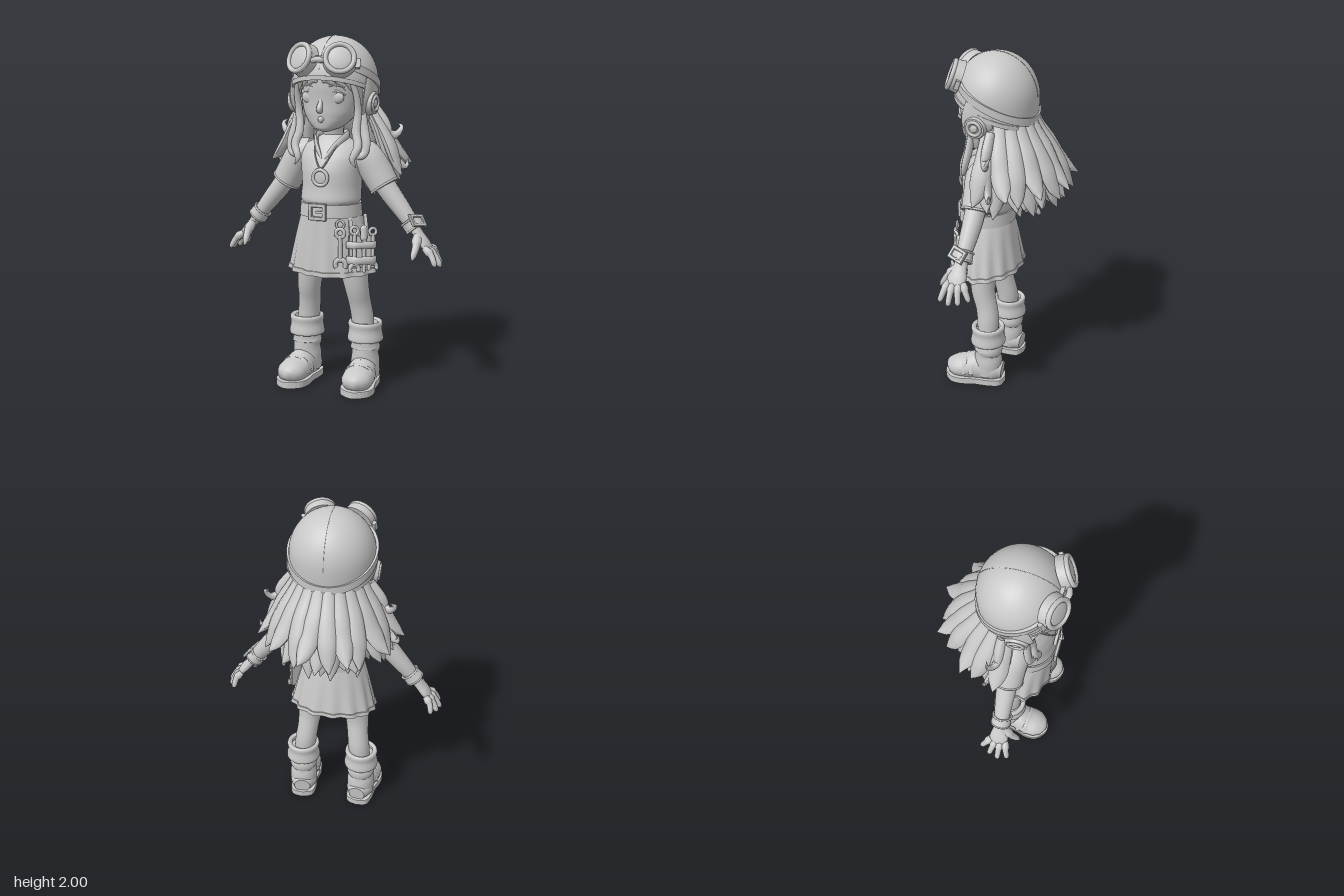
import * as THREE from 'three';
import { toCreasedNormals } from 'three/addons/utils/BufferGeometryUtils.js';

const V = (x, y, z) => new THREE.Vector3(x, y, z);
const grey = new THREE.MeshStandardMaterial({ color: 0xc8c8c8, side: THREE.DoubleSide });
grey.name = 'clay grey';

// Surface closed around u (angle) and open along v (row index)
function surface(nu, nv, f, crease = 0.9) {
  const pos = [], idx = [];
  for (let j = 0; j <= nv; j++)
    for (let i = 0; i < nu; i++) pos.push(...f((i / nu) * Math.PI * 2, j).toArray());
  for (let j = 0; j < nv; j++)
    for (let i = 0; i < nu; i++) {
      const k = (i + 1) % nu, a = j * nu + i, b = j * nu + k;
      idx.push(a, b, b + nu, a, b + nu, a + nu);
    }
  const g = new THREE.BufferGeometry();
  g.setAttribute('position', new THREE.Float32BufferAttribute(pos, 3));
  g.setIndex(idx);
  return toCreasedNormals(g, crease);
}

// Capped tube along points; radii are numbers or [side, depth]
function sweep(pts, radii, ref = V(0, 0, 1), nu = 12, steps = 4) {
  const path = new THREE.CatmullRomCurve3(pts.map(p => V(...p)));
  const size = new THREE.CatmullRomCurve3(radii.map(r => Array.isArray(r) ? V(r[0], r[1], 0) : V(r, r, 0)));
  const n = (pts.length - 1) * steps;
  const rows = [];
  for (let j = 0; j <= n; j++) {
    const t = path.getTangent(j / n), s = ref.clone().cross(t).normalize();
    rows.push({ c: path.getPoint(j / n), s, d: t.clone().cross(s), r: size.getPoint(j / n) });
  }
  return surface(nu, n + 2, (a, j) => {
    const k = rows[Math.min(Math.max(j - 1, 0), n)], m = j === 0 || j === n + 2 ? 0 : 1;
    return k.c.clone().addScaledVector(k.s, m * Math.max(k.r.x, 0) * Math.cos(a))
      .addScaledVector(k.d, m * Math.max(k.r.y, 0) * Math.sin(a));
  });
}

// Stacked ellipses listed from top to bottom: [y, centreZ, radiusX, radiusZ]
function loft(rows, smooth = true, nu = 40) {
  const k = smooth ? 4 : 1, n = (rows.length - 1) * k;
  const A = new THREE.CatmullRomCurve3(rows.map(r => V(r[0], r[1], 0)));
  const B = new THREE.CatmullRomCurve3(rows.map(r => V(r[2], r[3], 0)));
  return surface(nu, n, (a, j) => {
    const p = A.getPoint(j / n), q = B.getPoint(j / n);
    return V(q.x * Math.cos(a), p.x, p.y + q.y * Math.sin(a));
  });
}

// Point on the cap shell at angle a and height y
function dome(a, y, off = 0) {
  const c = Math.min(1, Math.max(-1, (y - 1.75) / 0.25));
  let s = Math.sqrt(1 - c * c);
  if (c < 0) s = 1 - 0.3 * (1 - s);
  return V((0.24 * s + off) * Math.cos(a), y, 0.1 + (0.235 * s + off) * Math.sin(a));
}
const rimY = a => 1.69 + 0.085 * Math.sin(a);

function capBand(yOf, h, off) {
  const prof = [[0.5, -0.01], [0.5, off], [-0.5, off], [-0.5, -0.01]];
  return surface(64, 3, (a, j) => {
    const q = dome(a, yOf(a), prof[j][1]);
    q.y += prof[j][0] * h;
    return q;
  }, 0.6);
}

// Rectangular buckle frame
function frame(w, h, t, d) {
  const rect = (o, a, b) => o.moveTo(-a, -b).lineTo(a, -b).lineTo(a, b).lineTo(-a, b).closePath();
  const s = rect(new THREE.Shape(), w / 2, h / 2);
  s.holes.push(rect(new THREE.Path(), w / 2 - t, h / 2 - t));
  return new THREE.ExtrudeGeometry(s, { depth: d, bevelSize: 0.003, bevelThickness: 0.003, bevelSegments: 1 });
}

export function createModel() {
  const root = new THREE.Group();
  const add = (name, geo, parent = root) => {
    const m = new THREE.Mesh(geo, grey);
    m.name = name;
    parent.add(m);
    return m;
  };
  const at = (m, x, y, z) => (m.position.set(x, y, z), m);
  const group = (name, x, y, z, dir) => {
    const g = at(new THREE.Group(), x, y, z);
    g.name = name;
    if (dir) g.quaternion.setFromUnitVectors(V(0, 0, 1), dir.normalize());
    root.add(g);
    return g;
  };
  const ball = (name, x, y, z, a, b, c, parent) => {
    const m = at(add(name, new THREE.SphereGeometry(1, 20, 14), parent), x, y, z);
    m.scale.set(a, b, c);
    return m;
  };

  // Head, neck and face
  add('head', loft([[1.93, 0.1, 0.02, 0.02], [1.88, 0.11, 0.15, 0.16], [1.8, 0.115, 0.19, 0.203], [1.72, 0.12, 0.185, 0.197],
    [1.65, 0.135, 0.174, 0.175], [1.58, 0.165, 0.15, 0.143], [1.53, 0.19, 0.114, 0.114], [1.495, 0.218, 0.07, 0.078], [1.475, 0.25, 0.008, 0.01]]));
  add('neck', sweep([[0, 1.38, 0.12], [0, 1.46, 0.13], [0, 1.56, 0.15]], [0.075, 0.06, 0.065]));
  add('nose', sweep([[0, 1.68, 0.294], [0, 1.64, 0.306], [0, 1.605, 0.324], [0, 1.59, 0.305]], [0.008, 0.012, 0.018, 0.012]));
  add('upperLip', sweep([[-0.045, 1.556, 0.282], [-0.015, 1.549, 0.3], [0.015, 1.549, 0.3], [0.045, 1.556, 0.282]], [0.003, 0.007, 0.007, 0.003]));
  add('lowerLip', sweep([[-0.03, 1.543, 0.288], [0, 1.537, 0.3], [0.03, 1.543, 0.288]], [0.003, 0.008, 0.003]));
  for (const s of [-1, 1]) {
    ball('eye', s * 0.08, 1.668, 0.277, 0.046, 0.034, 0.018);
    add('eyelid', sweep([[s * 0.035, 1.672, 0.298], [s * 0.075, 1.705, 0.294], [s * 0.13, 1.68, 0.262]], [0.003, 0.007, 0.003]));
    add('eyebrow', sweep([[s * 0.035, 1.722, 0.309], [s * 0.08, 1.737, 0.298], [s * 0.13, 1.722, 0.264]], [0.003, 0.006, 0.003]));
    add('ear', sweep([[s * 0.18, 1.71, 0.12], [s * 0.19, 1.65, 0.12], [s * 0.175, 1.59, 0.13]], [[0.012, 0.02], [0.015, 0.035], [0.01, 0.015]]));
  }

  // Leather cap with rim, strap and seam
  add('cap', surface(64, 20, (a, j) => {
    const phi = (j / 20) * Math.acos((rimY(a) - 1.75) / 0.25);
    return dome(a, 1.75 + 0.25 * Math.cos(phi));
  }));
  add('capRim', capBand(rimY, 0.025, 0.007));
  add('goggleStrap', capBand(a => 1.755 + 0.115 * Math.sin(a), 0.045, 0.012));
  const seam = [];
  for (let d = -100; d <= 75; d += 17.5) {
    const p = d * Math.PI / 180;
    seam.push([0, 1.75 + 0.25 * Math.cos(p), 0.1 + 0.235 * Math.sin(p)]);
  }
  add('capSeam', sweep(seam, seam.map(() => 0.002), V(1, 0, 0), 6, 6));
  for (const s of [-1, 1]) {
    add('earFlap', sweep([[s * 0.225, 1.75, 0.11], [s * 0.222, 1.66, 0.135], [s * 0.2, 1.57, 0.145], [s * 0.178, 1.5, 0.17]],
      [[0.09, 0.016], [0.092, 0.022], [0.065, 0.018], [0.02, 0.012]], V(s, 0, 0)));
    const ear = group('earCup', s * 0.222, 1.635, 0.14, V(s, -0.08, 0.05));
    at(add('earPad', new THREE.CylinderGeometry(0.058, 0.07, 0.036, 28), ear), 0, 0, 0.015).rotation.x = Math.PI / 2;
    at(add('earRing', new THREE.TorusGeometry(0.038, 0.01, 8, 28), ear), 0, 0, 0.033);
    ball('earButton', 0, 0, 0.032, 0.022, 0.022, 0.01, ear);
    // Goggles
    const g = group('goggle', s * 0.112, 1.873, 0.3, V(s * 0.36, 0.36, 0.87));
    at(add('goggleHousing', new THREE.CylinderGeometry(0.086, 0.094, 0.055, 32), g), 0, 0, -0.004).rotation.x = Math.PI / 2;
    at(add('goggleRim', new THREE.TorusGeometry(0.077, 0.014, 10, 36), g), 0, 0, 0.024);
    ball('lens', 0, 0, 0.02, 0.068, 0.068, 0.014, g);
    at(add('strapClip', new THREE.BoxGeometry(0.03, 0.05, 0.025), g), s * 0.096, -0.012, -0.015);
  }
  add('goggleBridge', sweep([[-0.04, 1.865, 0.335], [0, 1.873, 0.345], [0.04, 1.865, 0.335]], [0.013, 0.017, 0.013]));

  // Hair falling behind in three layers: [count, tip radius, tip height, mid radius]
  const layers = [[12, 0.455, 1.275, 0.35], [13, 0.395, 1.19, 0.315], [12, 0.3, 1.15, 0.24]];
  layers.forEach(([n, R, tipY, M], l) => {
    for (let i = 0; i < n; i++) {
      const f = i / (n - 1), a = Math.PI + 0.06 + f * (Math.PI - 0.12), c = Math.cos(a), z = Math.sin(a);
      const w = 0.022 * Math.sin(i * 2.4 + l), odd = i % 2, tip = R - odd * 0.03, ty = tipY - odd * 0.05;
      const x = l === 2 ? 0.85 : 0.93;
      const p = (r, y, k = 0) => [c * r * x - z * k, y, 0.09 + z * r + c * k];
      add('hairStrand', sweep([p(0.19 - l * 0.02, 1.67), p(0.235 - l * 0.02, 1.58), p((0.24 + M) / 2 - l * 0.012, 1.485),
        p(M, 1.385 - l * 0.04, w / 2), p(M * 0.45 + tip * 0.55, (1.385 - l * 0.04) * 0.4 + ty * 0.6, w), p(tip, ty + 0.01, w * 1.8)],
        [[0.032, 0.02], [0.044, 0.026], [0.053, 0.032], [0.056, 0.034], [0.038, 0.024], [0.003, 0.003]], V(c, 0, z), 10));
    }
  });
  add('hairMass', loft([[1.72, 0.04, 0.17, 0.14], [1.6, 0.01, 0.2, 0.14], [1.5, -0.03, 0.22, 0.13], [1.38, -0.09, 0.21, 0.1], [1.27, -0.12, 0.14, 0.07], [1.22, -0.13, 0.005, 0.005]]));

  // Side curls, front locks and fringe
  for (const s of [-1, 1]) {
    const lock = (pts, r) => add('frontLock', sweep(pts.map(p => [s * p[0], p[1], p[2]]), r.map(k => [k, k * 0.7]), V(0, 0, 1), 10));
    lock([[0.14, 1.79, 0.275], [0.175, 1.7, 0.235], [0.178, 1.59, 0.205], [0.17, 1.48, 0.215], [0.19, 1.4, 0.235], [0.165, 1.33, 0.255], [0.185, 1.285, 0.25]],
      [0.01, 0.018, 0.022, 0.026, 0.025, 0.018, 0.002]);
    lock([[0.19, 1.6, 0.18], [0.205, 1.5, 0.19], [0.225, 1.42, 0.205], [0.22, 1.36, 0.22], [0.19, 1.345, 0.235], [0.185, 1.38, 0.24]],
      [0.025, 0.03, 0.028, 0.022, 0.016, 0.002]);
    lock([[0.21, 1.6, 0.06], [0.265, 1.52, 0.06], [0.305, 1.455, 0.06], [0.345, 1.46, 0.04], [0.365, 1.5, 0.02], [0.34, 1.515, 0.01]], [0.04, 0.045, 0.034, 0.02, 0.012, 0.002]);
    lock([[0.2, 1.58, 0.09], [0.26, 1.47, 0.07], [0.305, 1.38, 0.05], [0.345, 1.3, 0.03], [0.39, 1.28, 0.01], [0.4, 1.32, 0.0]], [0.04, 0.045, 0.042, 0.03, 0.016, 0.002]);
    for (let i = 0; i < 3; i++)
      add('fringe', sweep([[s * (0.02 + i * 0.035), 1.79, 0.312 - i * 0.012], [s * (0.05 + i * 0.04), 1.762, 0.312 - i * 0.02], [s * (0.095 + i * 0.033), 1.72 - i * 0.012, 0.285 - i * 0.024]],
        [[0.02, 0.01], [0.02, 0.01], [0.002, 0.002]], V(0, 0, 1), 8));
  }

  // Shirt, collar and sleeves
  add('shirt', loft([[1.455, 0.13, 0.06, 0.06], [1.43, 0.13, 0.1, 0.085], [1.395, 0.13, 0.165, 0.112], [1.33, 0.14, 0.187, 0.14],
    [1.25, 0.15, 0.176, 0.155], [1.16, 0.155, 0.172, 0.156], [1.1, 0.163, 0.174, 0.157], [1.07, 0.165, 0.16, 0.147], [1.0, 0.165, 0.165, 0.146]]));
  for (const s of [-1, 1]) {
    add('collar', sweep([[0, 1.455, 0.055], [s * 0.07, 1.455, 0.09], [s * 0.085, 1.44, 0.165], [s * 0.055, 1.395, 0.235], [s * 0.01, 1.33, 0.276]],
      [[0.008, 0.022], [0.009, 0.024], [0.012, 0.026], [0.012, 0.022], [0.005, 0.008]], V(0, 1, 0), 8));
    add('sleeve', sweep([[s * 0.12, 1.37, 0.125], [s * 0.2, 1.33, 0.12], [s * 0.25, 1.26, 0.115], [s * 0.303, 1.172, 0.115]], [0.06, 0.092, 0.09, 0.085], V(0, 0, 1), 24));
    const hem = group('sleeveHem', s * 0.301, 1.176, 0.115, V(s * 0.55, -0.83, 0));
    add('hemRing', new THREE.TorusGeometry(0.083, 0.007, 8, 28), hem);

    // Arms and hands
    add('arm', sweep([[s * 0.24, 1.27, 0.118], [s * 0.34, 1.135, 0.118], [s * 0.41, 1.05, 0.122], [s * 0.49, 0.95, 0.13]], [0.06, 0.057, 0.05, 0.038], V(0, 0, 1), 16));
    add('palm', sweep([[s * 0.48, 0.962, 0.13], [s * 0.515, 0.915, 0.132], [s * 0.55, 0.872, 0.135], [s * 0.58, 0.835, 0.135]],
      [[0.03, 0.034], [0.027, 0.042], [0.026, 0.055], [0.018, 0.05]], V(0, 0, 1), 14));
    [[0.093, 0.05, 0.6, 0.78], [0.12, 0.1, 0.628, 0.765], [0.148, 0.15, 0.642, 0.762], [0.175, 0.202, 0.628, 0.772]].forEach(([z0, z1, x, y]) =>
      add('finger', sweep([[s * 0.56, 0.855, z0], [s * (0.56 + x) / 2 + s * 0.008, (0.855 + y) / 2 + 0.008, (z0 + z1) / 2], [s * x, y, z1], [s * (x + 0.005), y - 0.012, z1]],
        [0.018, 0.018, 0.015, 0.004], V(0, 0, 1), 10)));
    add('thumb', sweep([[s * 0.51, 0.92, 0.15], [s * 0.52, 0.87, 0.195], [s * 0.517, 0.82, 0.232], [s * 0.515, 0.795, 0.25]], [0.022, 0.022, 0.017, 0.004], V(1, 0, 0), 10));
    const wrist = group('wristband', s * 0.472, 0.972, 0.128, V(s * 0.63, -0.78, 0));
    add('cuff', new THREE.CylinderGeometry(0.056, 0.053, 0.055, 28), wrist).rotation.x = Math.PI / 2;
    for (const e of [-0.026, 0.026]) at(add('cuffEdge', new THREE.TorusGeometry(0.053, 0.006, 8, 28), wrist), 0, 0, e);

    // Legs
    add('leg', sweep([[s * 0.095, 0.92, 0.15], [s * 0.128, 0.72, 0.148], [s * 0.148, 0.59, 0.142], [s * 0.158, 0.49, 0.118], [s * 0.168, 0.41, 0.105], [s * 0.178, 0.3, 0.105]],
      [0.1, 0.083, 0.07, 0.064, 0.065, 0.06], V(0, 0, 1), 20));
    // Boots
    const boot = group('boot', s * 0.185, 0, 0.1);
    boot.rotation.y = s * 0.1;
    add('shaft', sweep([[-s * 0.005, 0.34, 0.005], [0, 0.27, 0.005], [0, 0.225, 0], [0, 0.2, 0.005], [0, 0.14, 0], [0, 0.06, 0]],
      [0.08, 0.078, 0.086, 0.077, 0.084, 0.083], V(0, 0, 1), 24), boot);
    const fold = [[0.07, 0.375], [0.09, 0.385], [0.1, 0.37], [0.096, 0.335], [0.104, 0.285], [0.097, 0.27], [0.07, 0.275]].map(p => new THREE.Vector2(...p));
    add('foldedCuff', new THREE.LatheGeometry(new THREE.SplineCurve(fold).getPoints(20).reverse(), 32), boot);
    add('foot', sweep([[0, 0.08, -0.088], [0, 0.085, -0.03], [0, 0.095, 0.06], [0, 0.085, 0.13], [0, 0.078, 0.19], [0, 0.07, 0.235], [0, 0.062, 0.255]],
      [[0.05, 0.05], [0.08, 0.07], [0.08, 0.09], [0.09, 0.073], [0.086, 0.064], [0.058, 0.046], [0.012, 0.015]], V(0, 1, 0), 24), boot);
    const outline = [[0, -0.1], [0.06, -0.08], [0.077, -0.01], [0.078, 0.07], [0.092, 0.15], [0.075, 0.22], [0, 0.265], [-0.075, 0.22], [-0.092, 0.15], [-0.078, 0.07], [-0.077, -0.01], [-0.06, -0.08], [0, -0.1]];
    const soleShape = new THREE.Shape().setFromPoints(new THREE.SplineCurve(outline.map(p => new THREE.Vector2(p[0], -p[1]))).getPoints(48));
    const sole = at(add('sole', new THREE.ExtrudeGeometry(soleShape, { depth: 0.03, bevelSize: 0.004, bevelThickness: 0.005, bevelSegments: 2 }), boot), 0, 0.006, 0);
    sole.rotation.x = -Math.PI / 2;
    for (const [z, y] of [[0.085, 0.178], [0.13, 0.158]])
      add('bootStrap', sweep([[-0.087, 0.07, z + 0.005], [-0.066, 0.135, z], [0, y, z], [0.066, 0.135, z], [0.087, 0.07, z + 0.005]],
        [0, 1, 2, 3, 4].map(() => [0.006, 0.015]), V(0, 0, 1), 8), boot);
  }
  const dial = group('wristBuckle', 0.504, 0.995, 0.143, V(0.76, 0.6, 0.25));
  dial.rotateZ(0.3);
  add('wristPlate', new THREE.BoxGeometry(0.085, 0.055, 0.016), dial);
  add('wristFrame', frame(0.1, 0.07, 0.014, 0.012), dial);

  // Pendant on a cord
  add('cord', sweep([[-0.075, 1.45, 0.17], [-0.055, 1.37, 0.268], [0, 1.28, 0.308], [0.055, 1.37, 0.268], [0.075, 1.45, 0.17]], [0.005, 0.005, 0.005, 0.005, 0.005], V(0, 0, 1), 6));
  at(add('pendantRing', new THREE.TorusGeometry(0.043, 0.01, 10, 32)), 0, 1.23, 0.315);
  ball('pendantDisc', 0, 1.23, 0.312, 0.04, 0.04, 0.008);

  // Belt and pleated skirt
  add('hips', loft([[1.0, 0.165, 0.165, 0.145], [0.9, 0.16, 0.17, 0.14], [0.8, 0.15, 0.16, 0.12], [0.74, 0.15, 0.03, 0.03]]));
  add('belt', loft([[1.078, 0.165, 0.15, 0.14], [1.078, 0.165, 0.174, 0.158], [1.005, 0.165, 0.18, 0.162], [1.003, 0.165, 0.15, 0.14]], false, 48));
  at(add('beltBuckle', frame(0.1, 0.09, 0.016, 0.014)), -0.012, 1.04, 0.322);
  at(add('bucklePin', new THREE.BoxGeometry(0.05, 0.012, 0.014)), 0.008, 1.04, 0.332);
  const skirt = (a, t, out = 0) => {
    const r = 1 + 0.035 * t * Math.sin(a * 14) + 0.015 * t * Math.sin(a * 5 + 1), w = Math.pow(t, 0.85);
    return V((0.17 + 0.085 * w + out) * r * Math.cos(a), 1.02 - t * (0.33 + 0.02 * Math.sin(a)), 0.163 - 0.023 * w + (0.15 + 0.03 * w + out) * r * Math.sin(a));
  };
  add('skirt', surface(112, 12, (a, j) => skirt(a, j / 12)));
  add('skirtHem', surface(112, 3, (a, j) => skirt(a, [0.92, 0.925, 1.0, 1.0][j], [-0.004, 0.005, 0.005, -0.01][j])));

  // Hanging wrenches and tool pouch
  const wrench = (parent, x, y, z, len, k) => {
    const g = at(new THREE.Group(), x, y, z);
    g.name = 'wrench';
    parent.add(g);
    add('wrenchHandle', new THREE.CapsuleGeometry(0.011 * k, len, 4, 10), g);
    at(add('wrenchRing', new THREE.TorusGeometry(0.02 * k, 0.009 * k, 8, 20), g), 0, len / 2 + 0.02 * k, 0);
    const jaw = at(add('wrenchJaw', new THREE.TorusGeometry(0.024 * k, 0.012 * k, 8, 20, 4.4), g), 0, -len / 2 - 0.02 * k, 0);
    jaw.rotation.z = -0.63;
  };
  const hanging = group('hangingWrench', 0.12, 0.84, 0.315, V(0.25, -0.05, 1));
  wrench(hanging, 0, 0, 0, 0.13, 1.2);
  at(add('hangingLoop', new THREE.TorusGeometry(0.022, 0.007, 8, 20), hanging), 0, 0.135, -0.012);
  const pouch = group('toolPouch', 0.226, 0.84, 0.25, V(0.66, 0.1, 0.74));
  for (const [y, h] of [[0.02, 0.04], [-0.065, 0.045]])
    add('pouchStrap', sweep([[-0.085, y, -0.02], [-0.06, y, 0.025], [0, y, 0.035], [0.06, y, 0.025], [0.085, y, -0.02]],
      [0, 1, 2, 3, 4].map(() => [0.007, h / 2]), V(0, 1, 0).cross(V(0, 0, 1)).cross(V(1, 0, 0)).add(V(0, 1, 0)), 8), pouch);
  at(add('pouchBack', new THREE.BoxGeometry(0.15, 0.18, 0.02), pouch), 0, -0.02, -0.01);
  wrench(pouch, -0.053, -0.005, 0.015, 0.17, 1.05);
  wrench(pouch, 0.055, -0.005, 0.015, 0.16, 0.95);
  at(add('toolShaft', new THREE.CylinderGeometry(0.014, 0.01, 0.24, 12), pouch), 0.002, -0.01, 0.017);
  at(add('toolGrip', new THREE.CapsuleGeometry(0.02, 0.05, 4, 12), pouch), 0.002, 0.085, 0.014);
  for (const x of [-0.06, 0.03]) at(add('pouchHanger', new THREE.BoxGeometry(0.02, 0.13, 0.012), pouch), x, 0.125, -0.03).rotation.x = -0.3;
  return root;
}
